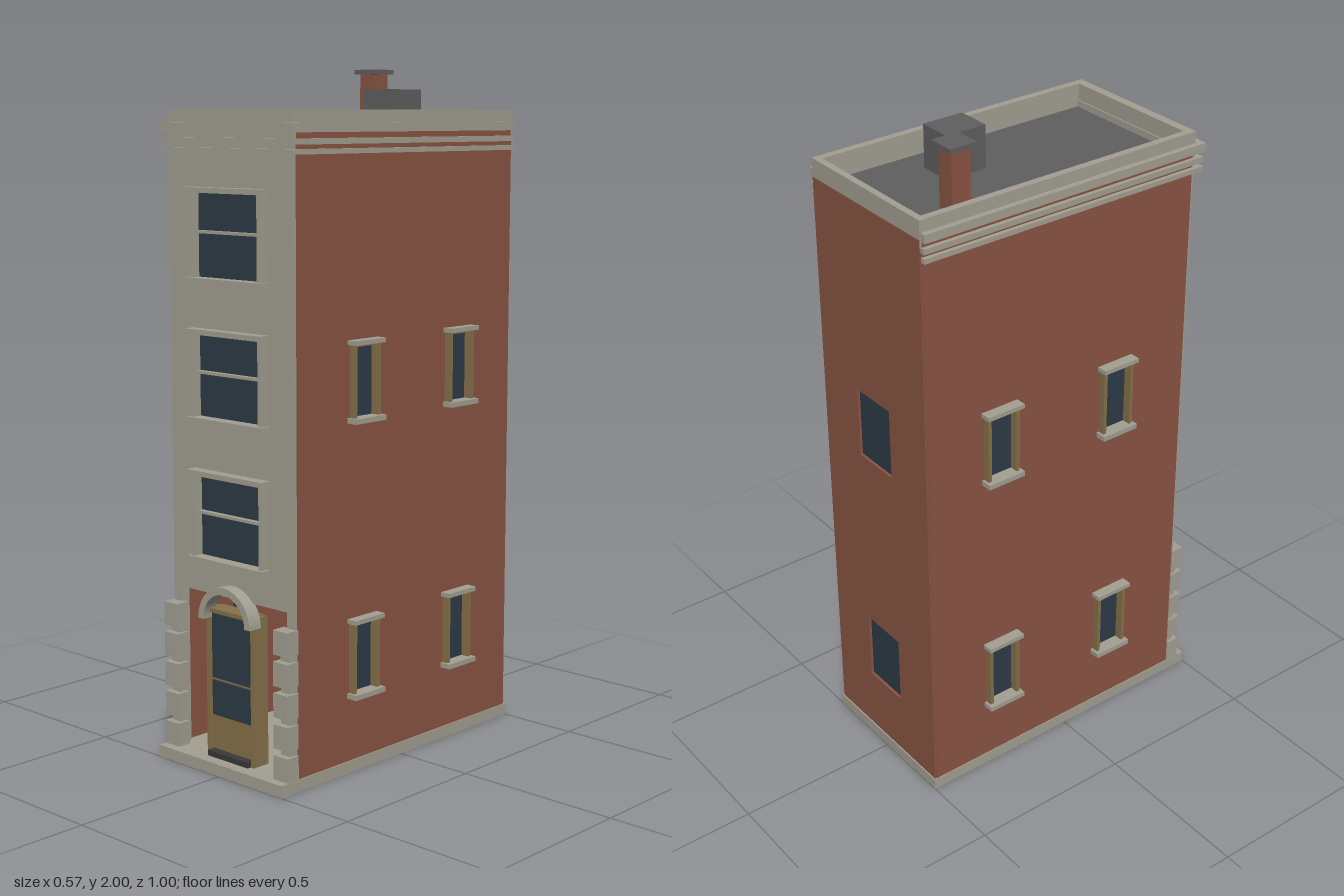
import * as THREE from 'three';

const mat = (name, color) => {
  const m = new THREE.MeshStandardMaterial({ color });
  m.name = name;
  return m;
};

export function createModel() {
  const brick = mat('brick', 0x8a5544);
  const stone = mat('stone', 0xa3a092);
  const grey = mat('roof grey', 0x5f5f5f);
  const glass = mat('dark glass', 0x2d3b47);
  const wood = mat('ochre wood', 0x87714a);
  const dark = mat('dark metal', 0x3a3a3a);

  const house = new THREE.Group();
  house.name = 'townhouse';

  const add = (parent, name, geometry, material) => {
    const mesh = new THREE.Mesh(geometry, material);
    mesh.name = name;
    parent.add(mesh);
    return mesh;
  };
  // Box given by its lower and upper corner
  const box = (parent, name, material, x0, x1, y0, y1, z0, z1) => {
    const mesh = add(parent, name, new THREE.BoxGeometry(x1 - x0, y1 - y0, z1 - z0), material);
    mesh.position.set((x0 + x1) / 2, (y0 + y1) / 2, (z0 + z1) / 2);
    return mesh;
  };
  const polygon = (Type, points) => new Type(points.map(([x, y]) => new THREE.Vector2(x, y)));
  const rectHole = (x, y, w, h) => polygon(THREE.Path, [
    [x - w / 2, y - h / 2], [x - w / 2, y + h / 2], [x + w / 2, y + h / 2], [x + w / 2, y - h / 2]]);
  // Upright slab with holes, its outer face on local z = 0
  const slab = (parent, name, material, points, holes, depth) => {
    const shape = polygon(THREE.Shape, points);
    shape.holes = holes.map((h) => rectHole(...h));
    const geometry = new THREE.ExtrudeGeometry(shape, { depth, bevelEnabled: false });
    return add(parent, name, geometry.translate(0, 0, -depth), material);
  };
  const rect = (x0, x1, y0, y1) => [[x0, y0], [x1, y0], [x1, y1], [x0, y1]];

  // Plinth, also the ground floor
  box(house, 'plinth', stone, -0.252, 0.252, 0, 0.035, -0.5, 0.5);

  // Side walls with projecting windows
  const storeys = [0.34, 1.135];
  const sideWindow = (parent, x, y) => {
    const w = new THREE.Group();
    w.name = 'sideWindow';
    w.position.set(x, y, 0);
    parent.add(w);
    box(w, 'glass', glass, -0.05, 0.05, -0.105, 0.105, -0.012, -0.006);
    for (const s of [-1, 1]) {
      const a = s * 0.054, b = s * 0.043;
      box(w, 'jamb', wood, Math.min(a, b), Math.max(a, b), -0.105, 0.102, -0.005, 0.021);
    }
    box(w, 'topRail', wood, -0.043, 0.043, 0.095, 0.102, -0.005, 0.012);
    box(w, 'lintel', stone, -0.062, 0.062, 0.102, 0.115, -0.005, 0.033);
    box(w, 'sill', stone, -0.062, 0.062, -0.118, -0.103, -0.005, 0.035);
  };
  for (const s of [-1, 1]) {
    const side = new THREE.Group();
    side.name = s > 0 ? 'leftSide' : 'rightSide';
    side.rotation.y = s * Math.PI / 2;
    side.position.x = s * 0.249;
    house.add(side);
    const spots = storeys.flatMap((y) => [0.167, -0.247].map((z) => [-s * z, y]));
    const ends = [s * 0.49, -s * 0.429];
    slab(side, 'sideWall', brick, rect(Math.min(...ends), Math.max(...ends), 0.035, 1.83),
      spots.map(([x, y]) => [x, y, 0.1, 0.21]), 0.02);
    spots.forEach(([x, y]) => sideWindow(side, x, y));
  }

  // Back wall with plain recessed windows
  const back = new THREE.Group();
  back.name = 'back';
  back.rotation.y = Math.PI;
  back.position.z = -0.496;
  house.add(back);
  slab(back, 'backWall', brick, rect(-0.247, 0.247, 0.035, 1.825),
    storeys.map((y) => [0, y, 0.155, 0.215]), 0.02);
  for (const y of storeys) {
    box(back, 'backGlass', glass, -0.0775, 0.0775, y - 0.1075, y + 0.1075, -0.015, -0.008);
  }

  // Stone front with an open ground floor
  const front = new THREE.Group();
  front.name = 'front';
  front.position.z = 0.437;
  house.add(front);
  const frontRows = [0.737, 1.14, 1.535];
  slab(front, 'frontWall', stone, [
    [-0.246, 0.035], [-0.215, 0.035], [-0.215, 0.51], [0.215, 0.51], [0.215, 0.035],
    [0.246, 0.035], [0.246, 1.83], [-0.246, 1.83]],
    frontRows.map((y) => [0, y, 0.264, 0.236]), 0.03);
  for (const y of frontRows) {
    const w = new THREE.Group();
    w.name = 'frontWindow';
    w.position.y = y;
    front.add(w);
    box(w, 'glass', glass, -0.132, 0.132, -0.118, 0.118, -0.012, -0.005);
    box(w, 'midRail', stone, -0.13, 0.13, 0.005, 0.013, -0.006, 0.012);
    box(w, 'lintel', stone, -0.15, 0.15, 0.118, 0.133, -0.005, 0.034);
    box(w, 'sill', stone, -0.15, 0.15, -0.133, -0.118, -0.005, 0.034);
    box(w, 'leftJamb', stone, 0.13, 0.142, -0.118, 0.118, -0.005, 0.025);
    box(w, 'rightJamb', stone, -0.142, -0.13, -0.118, 0.118, -0.005, 0.025);
  }

  // Corner blocks beside the entrance
  for (const s of [-1, 1]) {
    const span = (a, b) => (s > 0 ? [a, b] : [-b, -a]);
    box(house, 'cornerPier', stone, ...span(0.207, 0.242), 0.035, 0.46, 0.425, 0.455);
    for (let i = 0; i < 5; i++) {
      const y = 0.035 + i * 0.09;
      box(house, 'cornerBlock', stone, ...span(0.196, 0.251), y, y + 0.07, 0.43, 0.474);
    }
  }

  // Door with glazing, threshold and arch
  const door = new THREE.Group();
  door.name = 'door';
  house.add(door);
  box(door, 'doorPanel', wood, -0.085, 0.085, 0.035, 0.468, 0.4, 0.44);
  for (const s of [-1, 1]) {
    box(door, 'doorJamb', wood, s * 0.09 - 0.006, s * 0.09 + 0.006, 0.035, 0.47, 0.395, 0.452);
  }
  box(door, 'doorHead', wood, -0.084, 0.084, 0.46, 0.472, 0.395, 0.452);
  box(door, 'lowerGlass', glass, -0.08, 0.08, 0.155, 0.258, 0.438, 0.445);
  box(door, 'upperGlass', glass, -0.08, 0.08, 0.266, 0.458, 0.438, 0.445);
  box(door, 'threshold', dark, -0.082, 0.082, 0.035, 0.052, 0.435, 0.465);
  const arch = new THREE.Shape();
  arch.absarc(0, 0, 0.105, 0, Math.PI, false);
  arch.absarc(0, 0, 0.084, Math.PI, 0, true);
  add(door, 'arch', new THREE.ExtrudeGeometry(arch, { depth: 0.045, bevelEnabled: false, curveSegments: 12 }), stone)
    .position.set(0, 0.443, 0.43);

  // Cornice bands around the front and sides
  for (const [y0, y1, out] of [[1.762, 1.776, 0.012], [1.788, 1.804, 0.012], [1.82, 1.845, 0.015]]) {
    const z = 0.437 + out * 1.7;
    box(house, 'frontCornice', stone, -0.25 - out, 0.25 + out, y0, y1, 0.425, z);
    for (const s of [-1, 1]) {
      box(house, 'sideCornice', stone, s > 0 ? 0.24 : -0.25 - out, s > 0 ? 0.25 + out : -0.24, y0, y1, -0.492, 0.425);
    }
  }

  // Parapet and sunken roof
  const parapet = polygon(THREE.Shape, rect(-0.248, 0.248, -0.438, 0.495));
  parapet.holes.push(rectHole(0, 0.032, 0.452, 0.886));
  const rim = add(house, 'parapet', new THREE.ExtrudeGeometry(parapet, { depth: 0.08, bevelEnabled: false }), stone);
  rim.rotation.x = -Math.PI / 2;
  rim.position.y = 1.8;
  box(house, 'roof', grey, -0.228, 0.228, 1.79, 1.81, -0.478, 0.414);
  box(house, 'roofVent', grey, 0.033, 0.14, 1.81, 1.938, -0.205, -0.075);
  box(house, 'chimney', brick, -0.152, -0.095, 1.81, 1.986, -0.323, -0.262);
  box(house, 'chimneyCap', grey, -0.165, -0.082, 1.986, 2, -0.336, -0.25);

  return house;
}
